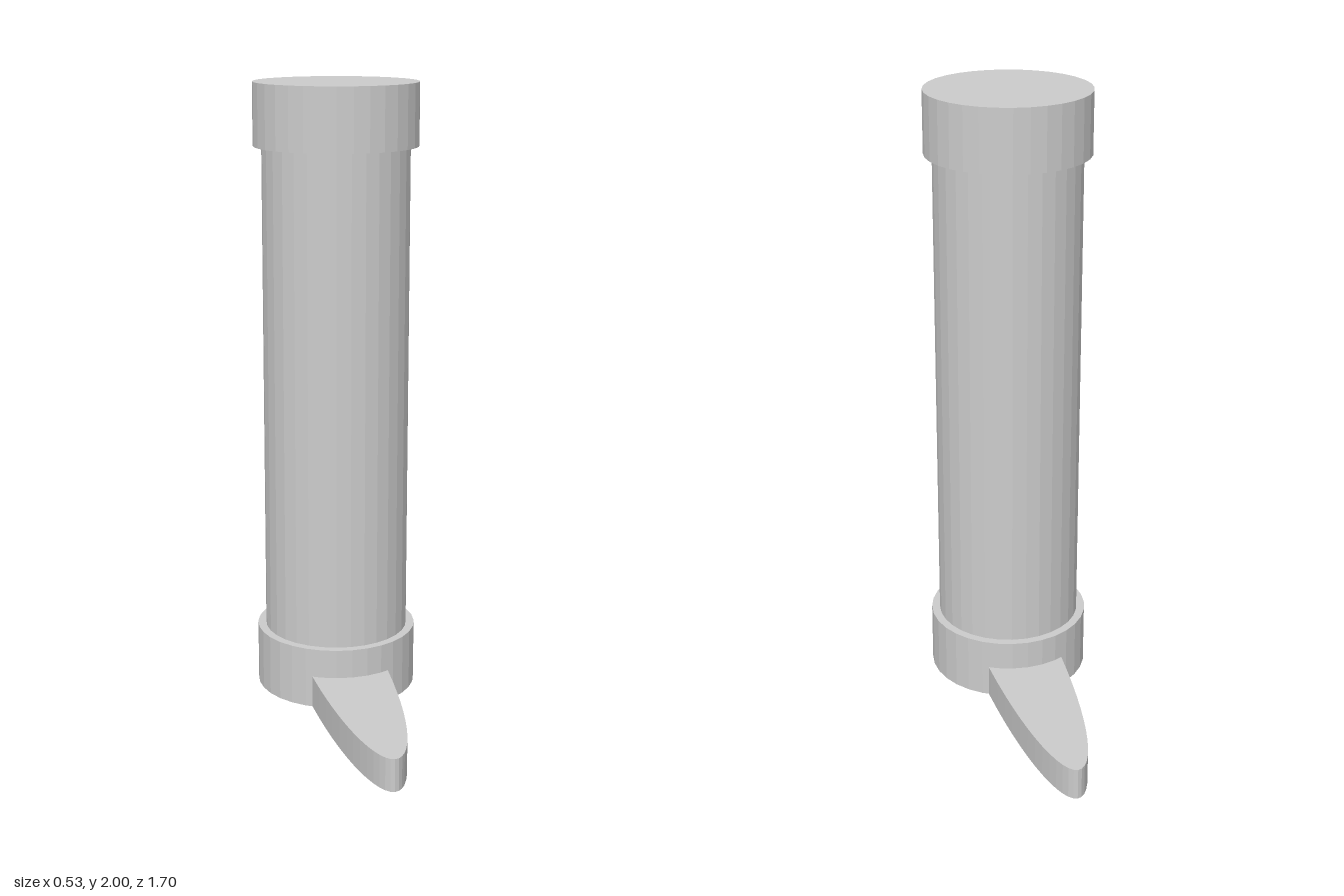
import * as THREE from 'three';

export function createModel() {
  const group = new THREE.Group();
  const material = new THREE.MeshStandardMaterial({ color: 0xcccccc, flatShading: true });

  // Upright cylinder standing on height y
  const addCylinder = (name, radius, height, y, segments = 32) => {
    const geometry = new THREE.CylinderGeometry(radius, radius, height, segments);
    geometry.translate(0, y + height / 2, 0);
    const mesh = new THREE.Mesh(geometry, material);
    mesh.name = name;
    group.add(mesh);
    return mesh;
  };

  // Main shaft between the two collars
  addCylinder('shaft', 0.236, 1.6, 0.2);

  // Collars at both ends
  addCylinder('bottomCollar', 0.263, 0.2, 0);
  addCylinder('topCollar', 0.263, 0.2, 1.8);

  // Elliptical blade running through the bottom collar, front to back
  const blade = addCylinder('blade', 1, 0.105, 0, 64);
  blade.geometry.scale(0.131, 1, 0.85);

  return group;
}
